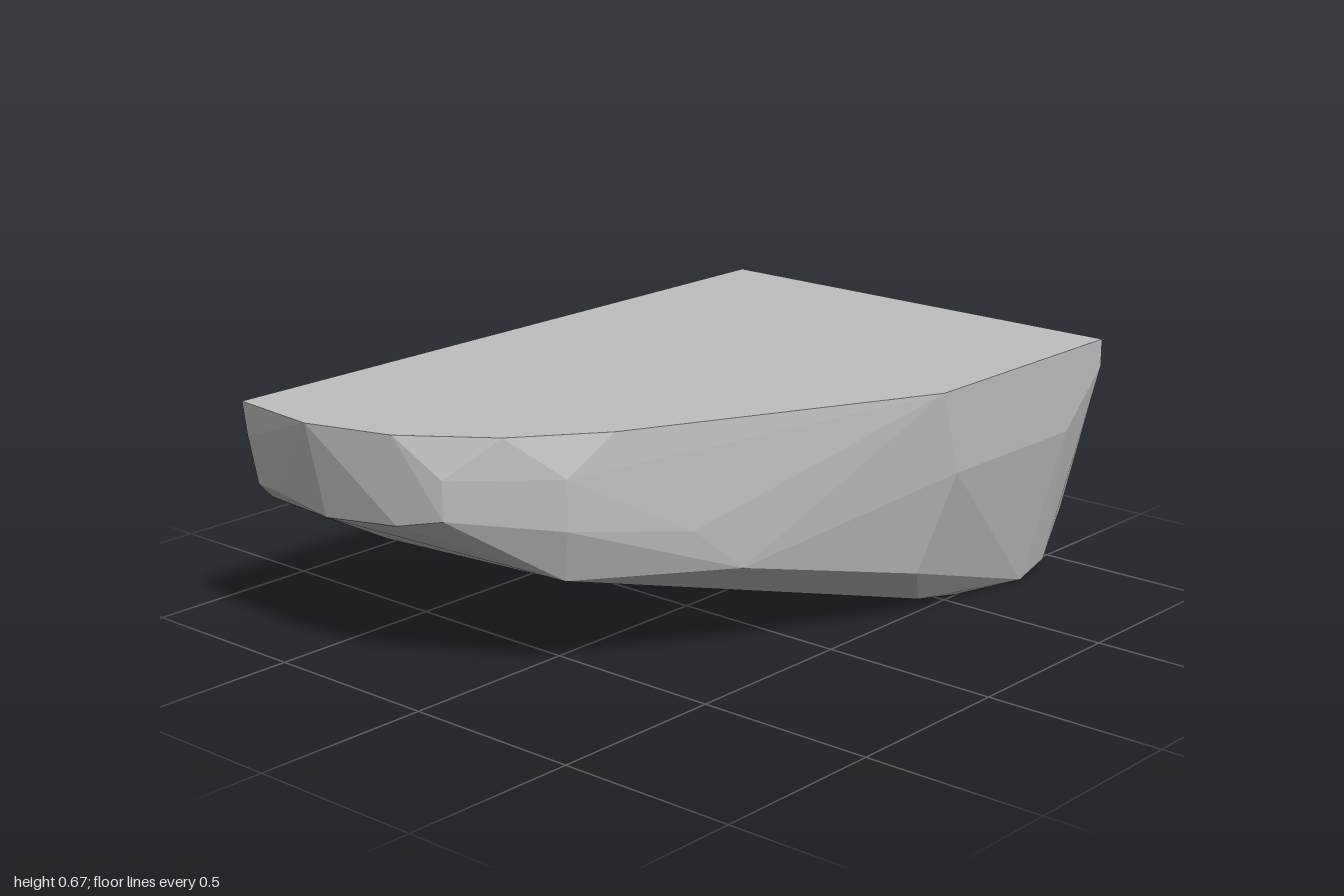
import * as THREE from 'three';
import { ConvexGeometry } from 'three/addons/geometries/ConvexGeometry.js';

export function createModel() {
  const group = new THREE.Group();
  group.name = 'facetedBlock';
  const grey = new THREE.MeshStandardMaterial({ color: 0xbfbfbf });
  grey.name = 'stone grey';

  // Flat top outline (x, z), all at one height
  const topY = 0.665;
  const top = [[-0.65, -1], [0.65, -1], [0.65, -0.265], [0.25, 0.55], [0.08, 0.77],
    [-0.14, 0.93], [-0.38, 1], [-0.65, 0.973]].map(([x, z]) => [x, topY, z]);

  // Flat cut side, from front to back
  const cutSide = [[0.57, 0.96], [0.435, 0.932], [0.39, 0.89], [0.287, 0.71],
    [0.093, -0.346], [0.14, -0.66], [0.23, -0.79]].map(([y, z]) => [-0.65, y, z]);

  // Rounded nose
  const nose = [[-0.6, 0.605, 0.97], [-0.57, 0.435, 0.938], [-0.38, 0.405, 0.942],
    [-0.15, 0.425, 0.915], [-0.02, 0.56, 0.88], [-0.02, 0.455, 0.88],
    [0.2, 0.56, 0.67], [0.2, 0.425, 0.67]];

  // Chamfered outer flank
  const flank = [[0.35, 0.385, 0.37], [0.4, 0.265, 0.24], [0.65, 0.435, -0.33],
    [0.65, 0.435, -0.84], [0.65, 0.59, -1], [0.565, 0.15, -0.28]];

  // Sloping underside and heel
  const underside = [[-0.38, 0.297, 0.74], [0.16, 0.28, 0.64], [0.12, 0.06, -0.22],
    [0.5, 0.035, -0.38], [0.5, 0, -0.56], [0.565, 0.002, -0.77],
    [0.565, 0.035, -0.88], [0.565, 0.17, -0.96]];

  // Wrap all corners in one flat-faceted convex skin
  const corners = [...top, ...cutSide, ...nose, ...flank, ...underside]
    .map((p) => new THREE.Vector3(...p));
  const body = new THREE.Mesh(new ConvexGeometry(corners), grey);
  body.name = 'body';
  group.add(body);
  return group;
}
